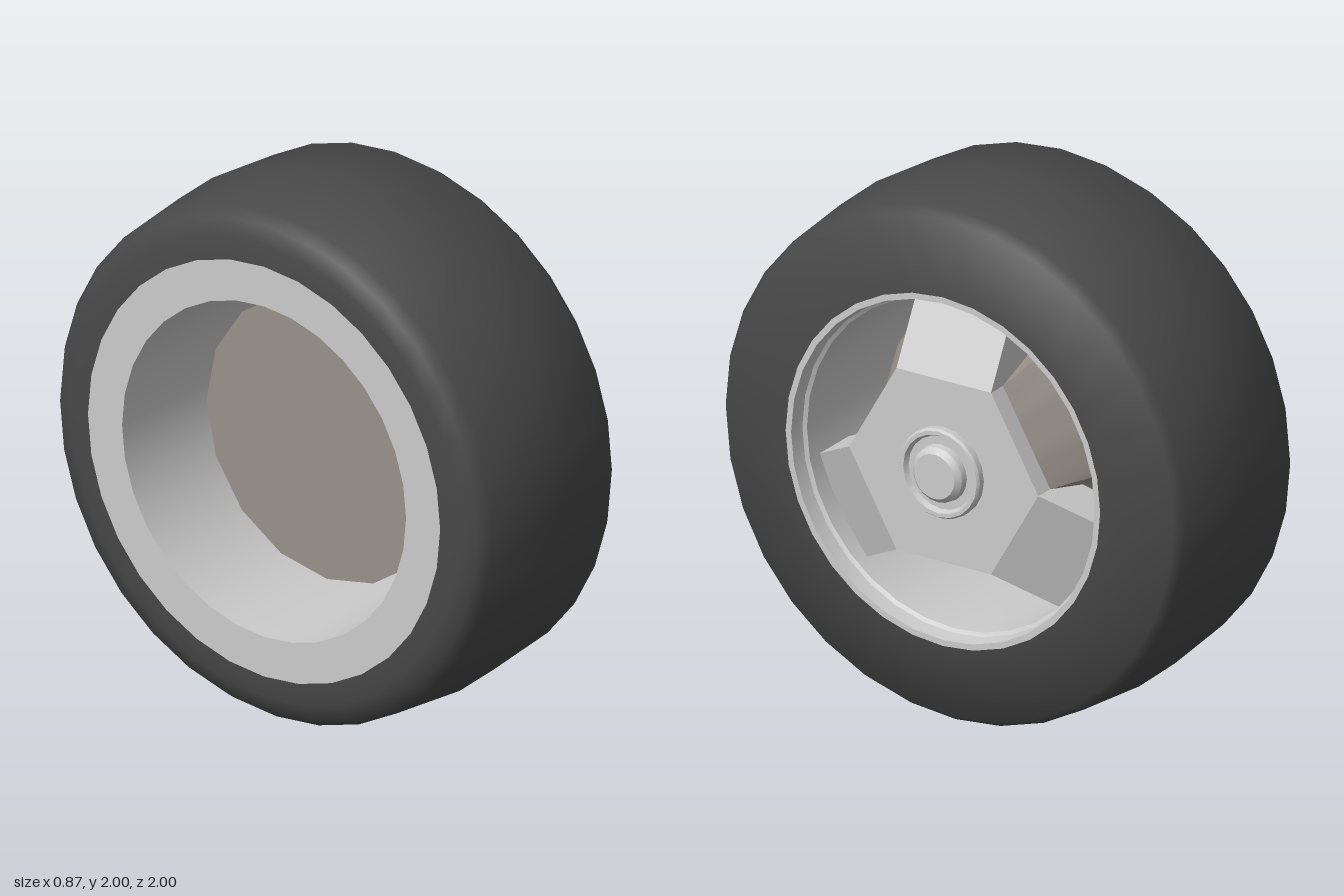
import * as THREE from 'three';
import { toCreasedNormals } from 'three/addons/utils/BufferGeometryUtils.js';

const grey = new THREE.MeshStandardMaterial({ color: 0xcccccc });
const rubber = new THREE.MeshStandardMaterial({ color: 0x484848 });
const warmGrey = new THREE.MeshStandardMaterial({ color: 0x98918a });

// Lathe of [radius, x] points about the x axis
function latheX(profile, segments, crease, reshape) {
  const geo = new THREE.LatheGeometry(profile.map(([r, x]) => new THREE.Vector2(r, x)), segments);
  if (reshape) reshape(geo.attributes.position);
  geo.rotateZ(-Math.PI / 2);
  return toCreasedNormals(geo, crease);
}

// Distance to the edge of a unit n-sided polygon with a corner at angle 0
function polygonRadius(angle, n) {
  const step = (2 * Math.PI) / n;
  const a = ((angle % step) + step) % step;
  return Math.cos(step / 2) / Math.cos(a - step / 2);
}

export function createModel() {
  const group = new THREE.Group();
  const add = (name, geo, material) => {
    const mesh = new THREE.Mesh(geo, material);
    mesh.name = name;
    group.add(mesh);
    return mesh;
  };

  const wheel = new THREE.Group();
  wheel.name = 'wheel';

  // Tyre: crowned tread with rounded shoulders
  add('tyre', latheX([
    [0.78, -0.435], [0.87, -0.43], [0.935, -0.41], [0.968, -0.365],
    [1, -0.03], [0.972, 0.3], [0.945, 0.338], [0.665, 0.38],
  ], 32, 0.9), rubber);

  // Rim: front lip, stepped ledge, barrel and flat back ring
  add('rim', latheX([
    [0.665, 0.38], [0.642, 0.38], [0.635, 0.32], [0.622, 0.31],
    [0.62, 0.25], [0.637, -0.435], [0.79, -0.435],
  ], 32, 0.5), grey);

  // Inner dish: blends from a hexagon at the front to a 16-sided back
  add('innerDish', latheX([[0, -0.08], [0.54, -0.08], [0.4, 0.3]], 48, 0.6, (pos) => {
    for (let i = 0; i < pos.count; i++) {
      const x = pos.getX(i), z = pos.getZ(i);
      const f = polygonRadius(Math.atan2(x, z), pos.getY(i) < 0 ? 16 : 6);
      pos.setX(i, x * f);
      pos.setZ(i, z * f);
    }
  }), warmGrey);

  // Hexagonal centre plate
  const plate = new THREE.CylinderGeometry(0.4, 0.4, 0.1, 6);
  plate.rotateZ(-Math.PI / 2).translate(0.325, 0, 0);
  add('centrePlate', toCreasedNormals(plate, 0.3), grey);

  // Three broad spokes sloping back to the barrel
  const side = new THREE.Shape([[0.375, 0.346], [0.235, 0.615], [0.05, 0.615], [0.2, 0.3], [0.375, 0.3]]
    .map(([x, y]) => new THREE.Vector2(x, y)));
  const spoke = new THREE.ExtrudeGeometry(side, { depth: 0.4, bevelEnabled: false });
  spoke.translate(0, 0, -0.2);
  for (let i = 0; i < 3; i++) {
    add('spoke', spoke, grey).rotation.x = (i * 2 * Math.PI) / 3;
  }

  // Hub: washer with a shallow groove around a raised nut
  add('hub', latheX([
    [0.17, 0.36], [0.17, 0.4], [0.163, 0.41], [0.148, 0.41], [0.138, 0.39],
    [0.108, 0.39], [0.104, 0.415], [0.085, 0.435], [0, 0.435],
  ], 20, 0.5), grey);

  // Stand the wheel on the ground
  wheel.add(...group.children.slice());
  wheel.position.y = 1;
  group.add(wheel);
  return group;
}
